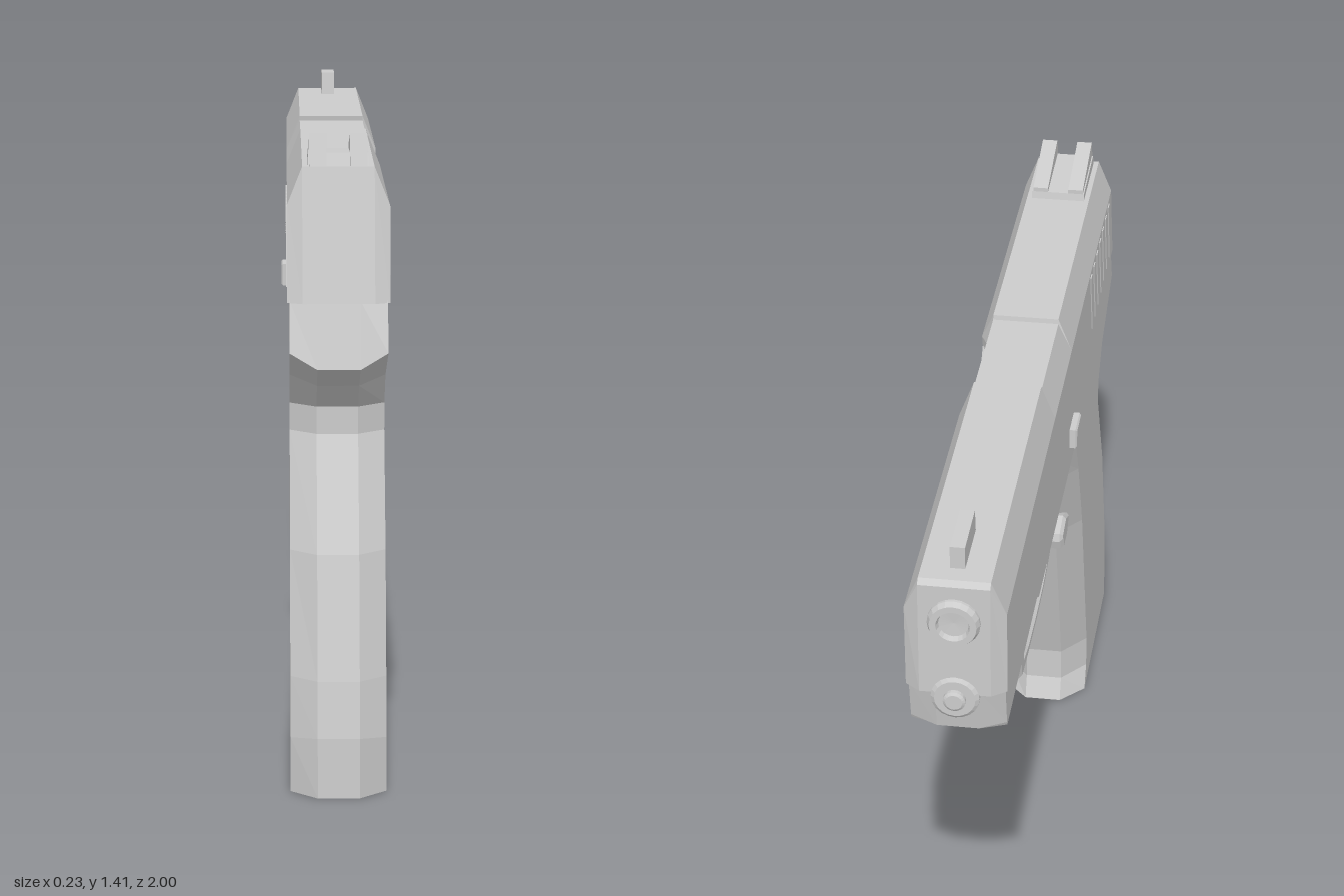
import * as THREE from 'three';

const mat = new THREE.MeshStandardMaterial({ color: 0xcccccc, flatShading: true });

function add(parent, name, geo) {
  const m = new THREE.Mesh(geo, mat);
  m.name = name;
  parent.add(m);
  return m;
}

// Loft of side profiles stacked along x. A row is [z, y, zEdge, yEdge]: the core
// point and its chamfered partner. A ring is [x, 0 for core or 2 for edge].
function loft(rows, rings) {
  let pts = rows.map(r => (r.length === 4 ? r : [r[0], r[1], r[0], r[1]]));
  const flat = pts.map(r => new THREE.Vector2(-r[0], r[1]));
  if (THREE.ShapeUtils.area(flat) < 0) pts = pts.reverse();
  const pos = [];
  const put = (ring, j) => {
    const r = pts[j % pts.length];
    pos.push(ring[0], r[ring[1] + 1], r[ring[1]]);
  };
  for (let i = 0; i < rings.length - 1; i++) {
    const p = rings[i], q = rings[i + 1];
    for (let j = 0; j < pts.length; j++) {
      put(p, j); put(p, j + 1); put(q, j + 1);
      put(p, j); put(q, j + 1); put(q, j);
    }
  }
  const cap = (ring, flip) => {
    const c = pts.map(r => new THREE.Vector2(-r[ring[1]], r[ring[1] + 1]));
    for (const [a, b, d] of THREE.ShapeUtils.triangulateShape(c, [])) {
      for (const k of flip ? [d, b, a] : [a, b, d]) put(ring, k);
    }
  };
  cap(rings[0], true);
  cap(rings[rings.length - 1], false);
  const g = new THREE.BufferGeometry();
  g.setAttribute('position', new THREE.Float32BufferAttribute(pos, 3));
  g.computeVertexNormals();
  return g;
}

// Side outline of [z, y] points with a small bevel, centred on x = 0
function plate(pts, half, bevel = 0.008) {
  const g = new THREE.ExtrudeGeometry(new THREE.Shape(pts.map(p => new THREE.Vector2(-p[0], p[1]))), {
    depth: 2 * (half - bevel), bevelThickness: bevel, bevelSize: bevel, bevelOffset: -bevel, bevelSegments: 1,
  });
  return g.translate(0, 0, -(half - bevel)).rotateY(Math.PI / 2);
}

// Lathe of [radius, distance] points running towards the muzzle (-z)
function turned(pts, y) {
  return new THREE.LatheGeometry(pts.map(p => new THREE.Vector2(p[0], p[1])), 20)
    .rotateX(-Math.PI / 2).translate(0, y, 0);
}

export function createModel() {
  const model = new THREE.Group();
  model.name = 'pistol';
  const body = new THREE.Group();
  body.name = 'body';
  body.position.x = 0.004;
  model.add(body);

  // Grip, tang and dust cover as one chamfered frame
  add(body, 'frame', loft([
    [0.957, 1.07], [1.0, 0.93, 1.0, 0.965], [0.85, 0.87, 0.795, 0.885], [0.77, 0.81, 0.72, 0.81],
    [0.77, 0.75, 0.72, 0.75], [0.893, 0.51, 0.84, 0.51], [0.968, 0.25, 0.918, 0.25],
    [0.99, 0.13, 0.94, 0.12], [0.995, 0, 0.94, 0], [0.44, 0, 0.5, 0], [0.464, 0.055, 0.533, 0.055],
    [0.464, 0.14, 0.533, 0.14], [0.33, 0.6, 0.4, 0.6], [0.24, 0.81, 0.31, 0.81],
    [0.185, 0.915, 0.245, 0.925], [-0.42, 0.92, -0.42, 0.935], [-0.45, 0.92, -0.45, 0.955],
    [-0.9, 0.92, -0.925, 0.955], [-0.947, 0.955, -0.93, 0.965], [-0.968, 1.07, -0.95, 1.07],
  ], [[-0.103, 2], [-0.045, 0], [0.045, 0], [0.103, 2]]));

  // Slide: left and centre, with the lowered barrel hood on top
  add(body, 'slide', loft([
    [0.898, 1.345, 0.9, 1.265], [0.973, 1.065, 0.955, 1.065], [-0.978, 1.065, -0.955, 1.065],
    [-0.978, 1.335, -0.96, 1.265], [-0.965, 1.345, -0.955, 1.265], [-0.19, 1.345, -0.19, 1.265],
    [-0.192, 1.334, -0.192, 1.265], [0.108, 1.334, 0.108, 1.265], [0.11, 1.345, 0.11, 1.265],
  ], [[-0.108, 2], [-0.076, 0], [0.076, 0]]));

  // Right wall of the slide, notched for the ejection port
  add(body, 'slideRightWall', loft([
    [0.898, 1.345, 0.9, 1.265], [0.973, 1.065, 0.955, 1.065], [-0.978, 1.065, -0.955, 1.065],
    [-0.978, 1.335, -0.96, 1.265], [-0.965, 1.345, -0.955, 1.265], [-0.19, 1.345, -0.205, 1.265],
    [-0.19, 1.215, -0.205, 1.21], [-0.18, 1.2, -0.185, 1.185], [0.1, 1.2, 0.115, 1.185],
    [0.108, 1.24, 0.155, 1.235], [0.11, 1.345, 0.145, 1.265],
  ], [[0.076, 0], [0.108, 2]]));

  // Slanted grip ribs on both sides of the slide
  for (const s of [-1, 1]) {
    for (let i = 0; i < 7; i++) {
      const z = 0.5 + i * 0.06;
      const rib = loft([[z - 0.035, 1.255], [z - 0.01, 1.255], [z + 0.035, 1.09], [z + 0.01, 1.09]],
        [[-0.004, 0], [0.004, 0]]);
      add(body, 'slideRib', rib).position.x = s * 0.1065;
    }
  }

  // Rear sight: sloping base with two posts
  add(body, 'rearSightBase', loft([[0.89, 1.34], [0.875, 1.372], [0.69, 1.362], [0.685, 1.34]],
    [[-0.064, 0], [0.064, 0]]));
  for (const s of [-1, 1]) {
    add(body, 'rearSightPost', loft([[0.895, 1.345], [0.868, 1.412], [0.69, 1.372], [0.69, 1.345]],
      [[-0.018, 0], [0.018, 0]])).position.x = s * 0.043;
  }
  add(body, 'frontSight', loft([[-0.775, 1.335], [-0.785, 1.4], [-0.922, 1.397], [-0.922, 1.335]],
    [[-0.016, 0], [0.016, 0]]));

  // Muzzle with bore, and the recoil rod below it
  add(body, 'muzzle', turned([[0.056, 0.94], [0.056, 0.985], [0.05, 0.998], [0.036, 0.998],
    [0.032, 0.985], [0, 0.983]], 1.25));
  add(body, 'recoilCollar', turned([[0.052, 0.93], [0.052, 0.978], [0.044, 0.984], [0, 0.984]], 1.055));
  add(body, 'recoilRod', turned([[0.024, 0.97], [0.024, 0.993], [0.018, 0.997], [0, 0.997]], 1.055));

  // Trigger guard
  add(body, 'triggerGuard', plate([
    [-0.415, 0.93], [-0.405, 0.9], [-0.316, 0.62], [-0.2, 0.61], [-0.05, 0.604], [0.08, 0.61],
    [0.17, 0.63], [0.25, 0.66], [0.34, 0.67], [0.3, 0.815], [0.255, 0.81], [0.24, 0.765],
    [0.195, 0.705], [0.12, 0.652], [0.05, 0.64], [-0.08, 0.638], [-0.2, 0.645], [-0.272, 0.66],
    [-0.34, 0.89], [-0.33, 0.93],
  ], 0.05, 0.01));

  // Trigger
  add(body, 'trigger', plate([
    [0.075, 0.94], [0.075, 0.88], [0.088, 0.82], [0.075, 0.76], [0.045, 0.715], [0.005, 0.687],
    [-0.06, 0.675], [-0.03, 0.7], [0.01, 0.73], [0.035, 0.77], [0.045, 0.82], [0.035, 0.87],
    [0.015, 0.91], [0.015, 0.94],
  ], 0.032, 0.006));

  // Magazine release lever behind the guard
  add(body, 'magazineRelease', plate([
    [0.3, 0.62], [0.235, 0.62], [0.225, 0.65], [0.205, 0.66], [0.21, 0.68], [0.275, 0.692], [0.34, 0.66],
  ], 0.078));

  // Slide stop on the other side
  add(body, 'slideStop', plate([[0.12, 0.99], [0.2, 0.99], [0.2, 1.04], [0.12, 1.04]], 0.012, 0.004))
    .position.x = -0.109;

  return model;
}
